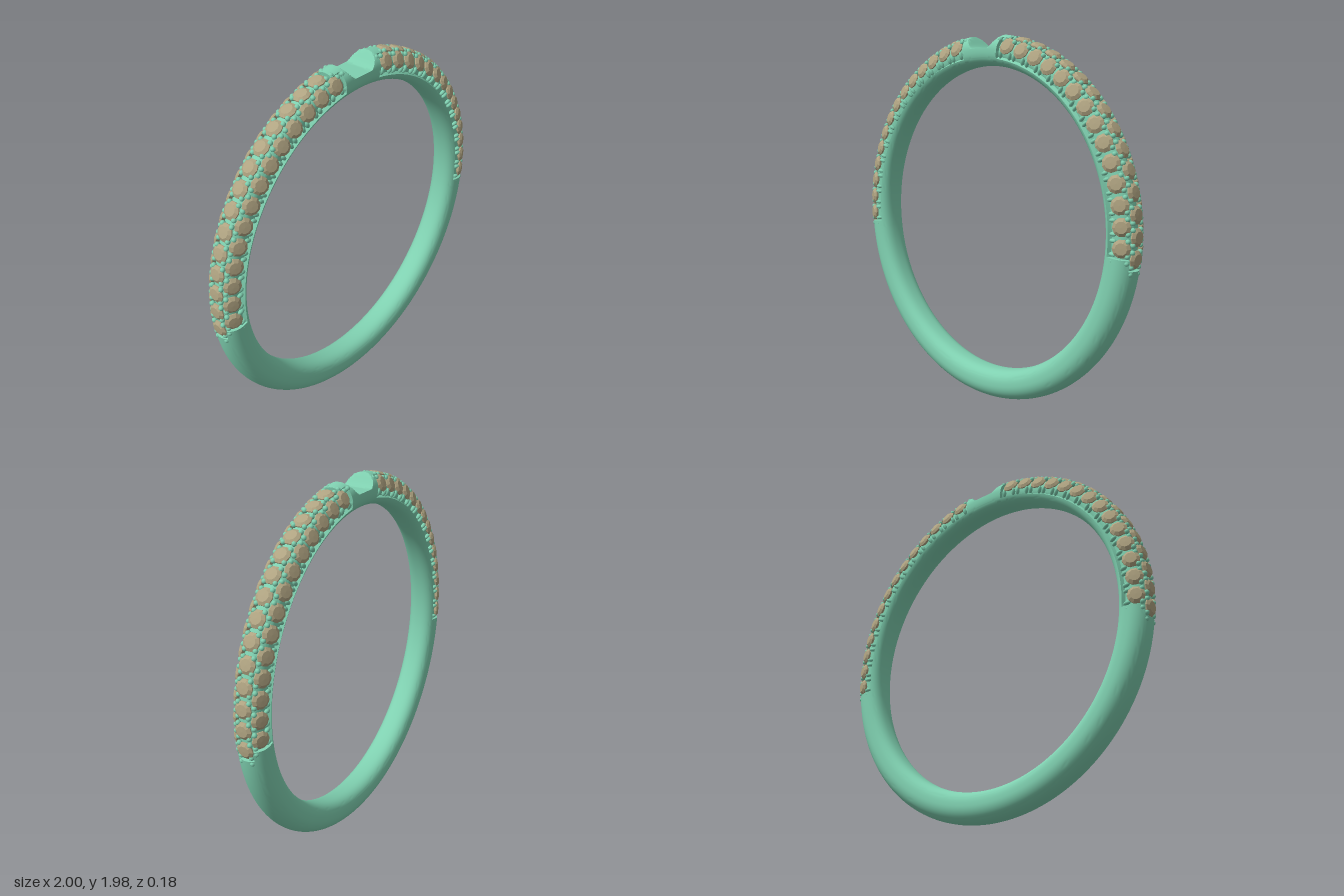
import * as THREE from 'three';
import { mergeGeometries, mergeVertices, toCreasedNormals } from 'three/addons/utils/BufferGeometryUtils.js';

const RAD = Math.PI / 180;
const CENTRE_Y = 0.996;  // ring axis height
const CORE = 0.912;      // radius of the centre of the band's section
const HALF = 0.083;      // half width of the band
const STEP = 80.8 / 13;  // angle from stone to stone
const COUNT = 14;

// Stone rows: tilt in the section (90 = outward), first stone angle from the top
const ROWS = [
  { name: 'centre', tilt: 90, first: 14.8 },
  { name: 'front', tilt: 25, first: 11.7 },
  { name: 'back', tilt: 155, first: 11.7 },
];

// Is the band cut away for stones at this angle and section position?
function isRecessed(phi, t) {
  const a = Math.abs(phi);
  if (t > 58 && t < 122) return a > 11.4 && a < 98.8;
  return t > -25 && t < 205 && a > 8.1 && a < 95.7;
}

// Saddle cut at the top of the ring: height limit above the axis
function saddleHeight(x) {
  return 0.92 + 0.085 * THREE.MathUtils.smoothstep(Math.abs(x), 0.055, 0.15);
}

function bandPoint(phi, t) {
  const s = Math.sin(t * RAD), c = Math.cos(t * RAD);
  const k = isRecessed(phi, t) ? 0.76 : 1;
  // round outside, flatter comfort-fit inside
  const pw = s < 0 ? 2 / 2.6 : 1;
  const dz = Math.sign(c) * Math.abs(c) ** pw * HALF * k;
  const dr = Math.sign(s) * Math.abs(s) ** pw * HALF * k;
  const r = CORE + dr;
  const x = r * Math.sin(phi * RAD);
  let y = r * Math.cos(phi * RAD);
  if (Math.abs(phi) < 11) y = Math.min(y, saddleHeight(x));
  return [x, y, dz];
}

function bandGeometry() {
  // angles round the ring and round the section, doubled at each step
  const phis = [], ts = [];
  for (let a = -180; a < 180; a += 2) phis.push(a);
  for (let a = -11; a <= 11; a += 0.5) if (a % 2) phis.push(a);
  for (const e of [8.1, 11.4, 95.7, 98.8])
    for (const s of [-1, 1]) phis.push(s * (e - 0.02), s * (e + 0.02));
  for (let t = -90; t < 270; t += 7.5) ts.push(t);
  for (const e of [-25, 58, 122, 205]) ts.push(e - 0.1, e + 0.1);
  phis.sort((a, b) => a - b);
  ts.sort((a, b) => a - b);

  const pos = [], index = [];
  const n = phis.length, m = ts.length;
  for (const p of phis) for (const t of ts) pos.push(...bandPoint(p, t));
  for (let i = 0; i < n; i++) for (let j = 0; j < m; j++) {
    const i2 = (i + 1) % n, j2 = (j + 1) % m;
    const a = i * m + j, b = i2 * m + j, c = i2 * m + j2, d = i * m + j2;
    index.push(a, b, c, a, c, d);
  }
  const g = new THREE.BufferGeometry();
  g.setAttribute('position', new THREE.Float32BufferAttribute(pos, 3));
  g.setIndex(index);
  return toCreasedNormals(mergeVertices(g), 0.6);
}

// Copy of a shape, its +y facing out of the section at angle t, turned round the ring
function placed(shape, phi, t, depth) {
  return shape.clone()
    .translate(0, depth, 0)
    .rotateX((90 - t) * RAD)
    .translate(0, CORE, 0)
    .rotateZ(-phi * RAD);
}

export function createModel() {
  const ring = new THREE.Group();
  ring.name = 'ring';
  ring.position.y = CENTRE_Y;
  const metal = new THREE.MeshStandardMaterial({ color: 0x7fd0b0 });
  const gem = new THREE.MeshStandardMaterial({ color: 0xb0a482, flatShading: true });

  const add = (name, geometry, material) => {
    const mesh = new THREE.Mesh(geometry, material);
    mesh.name = name;
    ring.add(mesh);
  };

  add('band', bandGeometry(), metal);

  // faceted stone: pointed base, girdle, bevelled crown, flat table
  const stone = new THREE.LatheGeometry([
    [0, -0.028], [0.046, -0.003], [0.046, 0.003], [0.03, 0.014], [0, 0.015],
  ].map(([x, y]) => new THREE.Vector2(x, y)), 10);
  const bead = new THREE.SphereGeometry(0.0135, 8, 6);
  const finger = new THREE.SphereGeometry(0.012, 8, 6).scale(0.9, 1, 1.9);

  for (const row of ROWS) {
    const stones = [], prongs = [];
    for (const side of [-1, 1]) {
      for (let i = 0; i < COUNT; i++)
        stones.push(placed(stone, side * (row.first + i * STEP), row.tilt, 0.071));

      // a pair of prongs on both edges of the row, in each gap between stones
      for (let i = 0; i <= COUNT; i++) {
        const gap = row.first + (i - 0.5) * STEP;
        for (const shift of [-1, 1]) {
          const phi = side * (gap + shift);
          if (row.name === 'centre') {
            prongs.push(placed(bead, phi, 67, 0.076), placed(bead, phi, 113, 0.076));
          } else {
            const mirror = (t) => (row.name === 'front' ? t : 180 - t);
            prongs.push(placed(bead, phi, mirror(48), 0.076));
            prongs.push(placed(finger, phi, mirror(-13), 0.073));
          }
        }
      }
    }
    add(row.name + 'Stones', mergeGeometries(stones), gem);
    add(row.name + 'Prongs', mergeGeometries(prongs), metal);
  }

  const root = new THREE.Group();
  root.name = 'stoneSetRing';
  root.add(ring);
  return root;
}
